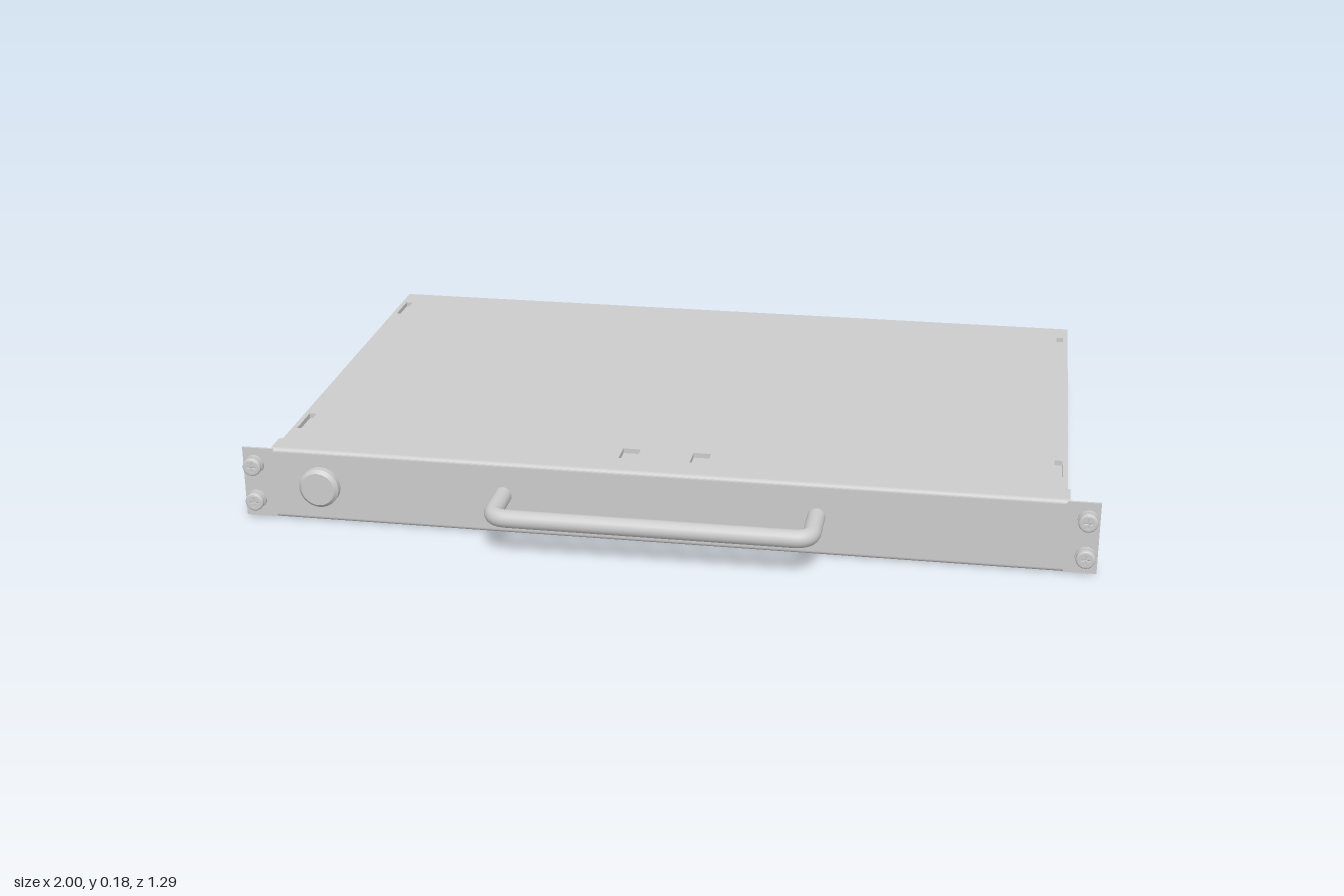
import * as THREE from 'three';

const grey = new THREE.MeshStandardMaterial({ color: 0xcccccc });

function add(parent, name, geometry, x = 0, y = 0, z = 0) {
  const mesh = new THREE.Mesh(geometry, grey);
  mesh.name = name;
  mesh.position.set(x, y, z);
  parent.add(mesh);
  return mesh;
}

// Box given by its minimum and maximum corners
function slab(parent, name, [x0, y0, z0], [x1, y1, z1]) {
  return add(parent, name, new THREE.BoxGeometry(x1 - x0, y1 - y0, z1 - z0),
    (x0 + x1) / 2, (y0 + y1) / 2, (z0 + z1) / 2);
}

function rect(Kind, x0, z0, x1, z1) {
  return new Kind([[x0, z0], [x1, z0], [x1, z1], [x0, z1]].map(p => new THREE.Vector2(...p)));
}

// Horizontal sheet with holes; the outline is drawn in x and z
function sheet(parent, name, holes, yTop, thickness) {
  const shape = rect(THREE.Shape, -0.925, -0.645, 0.925, 0.495);
  shape.holes.push(...holes);
  const geo = new THREE.ExtrudeGeometry(shape, { depth: thickness, bevelEnabled: false, curveSegments: 24 });
  geo.rotateX(Math.PI / 2);
  return add(parent, name, geo, 0, yTop, 0);
}

function lathe(points, segments = 32) {
  return new THREE.LatheGeometry(points.map(p => new THREE.Vector2(...p)), segments);
}

// Screw along z with a cross recess in its head and a hex nut behind the ear
function makeScrew() {
  const screw = new THREE.Group();
  screw.name = 'screw';
  const rod = (name, r, z0, z1, sides) => add(screw, name,
    new THREE.CylinderGeometry(r, r, z1 - z0, sides).rotateX(Math.PI / 2), 0, 0, (z0 + z1) / 2);
  rod('screwShank', 0.011, -0.046, 0.002, 16);
  rod('screwNut', 0.022, -0.039, -0.017, 6);
  rod('screwWasher', 0.017, -0.017, -0.005, 20);
  rod('screwHeadBase', 0.024, 0, 0.01, 24);
  const head = new THREE.Shape().absarc(0, 0, 0.017, 0, Math.PI * 2);
  const a = 0.003, b = 0.012;
  head.holes.push(new THREE.Path([[a, a], [b, a], [b, -a], [a, -a], [a, -b], [-a, -b],
    [-a, -a], [-b, -a], [-b, a], [-a, a], [-a, b], [a, b]].map(p => new THREE.Vector2(...p))));
  add(screw, 'screwHead', new THREE.ExtrudeGeometry(head, {
    depth: 0.008, bevelSize: 0.005, bevelThickness: 0.005, bevelSegments: 3, curveSegments: 16,
    bevelOffset: 0,
  }), 0, 0, 0.01);
  return screw;
}

export function createModel() {
  const model = new THREE.Group();
  model.name = 'rackDrawer';

  // Lid with slots near the corners and two small openings at the front
  const slots = [];
  for (const s of [-1, 1]) {
    for (const z of [-0.528, 0.312]) {
      slots.push(rect(THREE.Path, s * 0.904 - 0.009, z - 0.047, s * 0.904 + 0.009, z + 0.047));
    }
  }
  for (const x of [-0.09, 0.078]) slots.push(rect(THREE.Path, x - 0.021, 0.356, x + 0.021, 0.414));
  sheet(model, 'lid', slots, 0.173, 0.012);
  slab(model, 'lidBacking', [-0.92, 0.155, -0.64], [0.92, 0.161, 0.49]);

  // Side and back walls
  for (const s of [-1, 1]) {
    slab(model, 'sideWall', [s > 0 ? 0.917 : -0.925, 0.007, -0.645], [s > 0 ? 0.925 : -0.917, 0.173, 0.495]);
  }
  slab(model, 'backWall', [-0.925, 0.007, -0.645], [0.925, 0.173, -0.637]);

  // Floor with round pressed dimples
  const dimples = [];
  for (const x of [-0.82, 0, 0.82]) {
    for (const z of [-0.53, 0.32]) {
      dimples.push(new THREE.Path().absarc(x, z, 0.085, 0, Math.PI * 2));
      const dish = add(model, 'floorDimple', lathe([[0.086, 0], [0.05, 0.022], [0, 0.022]]), x, 0.007, z);
      dish.geometry = dish.geometry.toNonIndexed();
      dish.geometry.computeVertexNormals();
      dish.material = grey.clone();
      dish.material.side = THREE.DoubleSide;
    }
  }
  sheet(model, 'floor', dimples, 0.013, 0.006);

  // Front panel: a channel section with rounded outer bends
  const r = 0.01;
  const channel = new THREE.Shape();
  channel.moveTo(0.44, 0);
  channel.lineTo(0.5 - r, 0);
  channel.absarc(0.5 - r, r, r, -Math.PI / 2, 0);
  channel.lineTo(0.5, 0.178 - r);
  channel.absarc(0.5 - r, 0.178 - r, r, 0, Math.PI / 2);
  channel.lineTo(0.44, 0.178);
  channel.lineTo(0.44, 0.172);
  channel.lineTo(0.493, 0.172);
  channel.lineTo(0.493, 0.007);
  channel.lineTo(0.44, 0.007);
  const panel = new THREE.ExtrudeGeometry(channel, { depth: 1.86, bevelEnabled: false, curveSegments: 6 });
  panel.rotateY(-Math.PI / 2);
  // The profile's first axis now runs along z
  add(model, 'frontPanel', panel, 0.93, 0, 0);

  // Mounting ears, side flanges and screws
  for (const s of [-1, 1]) {
    const span = (a, b) => [Math.min(s * a, s * b), Math.max(s * a, s * b)];
    const [e0, e1] = span(0.925, 1);
    slab(model, 'mountingEar', [e0, 0.002, 0.494], [e1, 0.176, 0.5]);
    const [f0, f1] = span(0.924, 0.931);
    slab(model, 'sideFlange', [f0, 0.007, 0.425], [f1, 0.173, 0.497]);
    for (const y of [0.044, 0.134]) {
      const screw = makeScrew();
      screw.position.set(s * 0.973, y, 0.5);
      model.add(screw);
    }
  }

  // Round lock button
  const button = lathe([[0, 0], [0.048, 0], [0.048, 0], [0.048, 0.016], [0.048, 0.016],
    [0.04, 0.024], [0.04, 0.024], [0, 0.024]], 40);
  add(model, 'lockButton', button.rotateX(Math.PI / 2), -0.812, 0.09, 0.5);

  // Pull handle: a bent round bar
  const v = (x, z) => new THREE.Vector3(x, 0, z);
  const w = 0.367, c = 0.04, zf = 0.624;
  const bar = new THREE.CurvePath();
  bar.add(new THREE.LineCurve3(v(-w, 0.49), v(-w, zf - c)));
  bar.add(new THREE.QuadraticBezierCurve3(v(-w, zf - c), v(-w, zf), v(-w + c, zf)));
  bar.add(new THREE.LineCurve3(v(-w + c, zf), v(w - c, zf)));
  bar.add(new THREE.QuadraticBezierCurve3(v(w - c, zf), v(w, zf), v(w, zf - c)));
  bar.add(new THREE.LineCurve3(v(w, zf - c), v(w, 0.49)));
  add(model, 'handle', new THREE.TubeGeometry(bar, 120, 0.021, 20), -0.003, 0.097, 0);

  return model;
}
